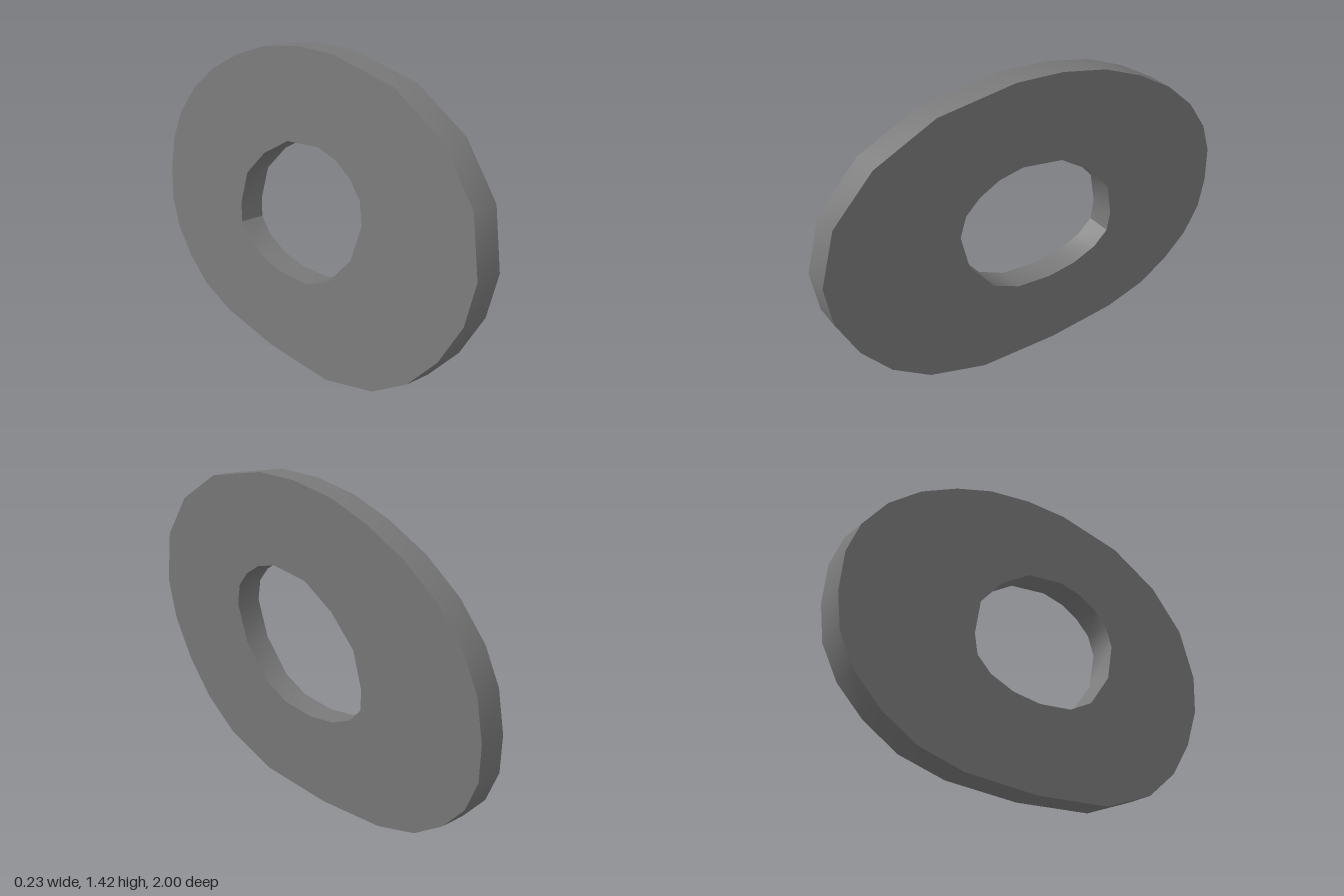
import * as THREE from 'three';
import { toCreasedNormals } from 'three/addons/utils/BufferGeometryUtils.js';

const MID = 0.712;      // height of the ring's centre
const THICKNESS = 0.115;
const TILT = 0.0815;    // lean towards +x
const YAW = 0.005;      // slight turn of the +x face to the front
const RIM_SLANT = 0.033; // the rim is not quite square to the faces

// Outlines as [z, y] corners, seen from the side
const OUTER = [
  [1, 0.82], [0.94, 1.06], [0.77, 1.25], [0.51, 1.377], [0.165, 1.42], [-0.055, 1.405],
  [-0.275, 1.357], [-0.465, 1.28], [-0.65, 1.175], [-0.805, 1.045], [-0.92, 0.895], [-0.98, 0.75],
  [-1, 0.575], [-0.985, 0.42], [-0.92, 0.285], [-0.81, 0.172], [-0.66, 0.078], [-0.455, 0.024],
  [-0.11, 0.004], [0.28, 0.03], [0.56, 0.13], [0.74, 0.265], [0.875, 0.435], [0.97, 0.63],
];
const HOLE = [
  [0.41, 0.805], [0.385, 0.9], [0.32, 0.965], [0.23, 1.013], [0.115, 1.033], [-0.08, 1.0],
  [-0.235, 0.9], [-0.355, 0.768], [-0.39, 0.612], [-0.38, 0.52], [-0.315, 0.455], [-0.2, 0.41],
  [-0.06, 0.395], [0.11, 0.415], [0.24, 0.48], [0.365, 0.635],
];

// Centre an outline and turn it into the extrusion plane
const toPlane = (points) => points.map(([z, y]) => new THREE.Vector2(-z, (y - MID) * 1.002));

export function createModel() {
  const group = new THREE.Group();
  group.name = 'leaningRing';

  // Flat plate with a faceted oval outline; the hole winds the other way so its wall faces inwards
  const shape = new THREE.Shape(toPlane(OUTER));
  shape.holes.push(new THREE.Path(toPlane(HOLE).reverse()));
  let geometry = new THREE.ExtrudeGeometry(shape, { depth: THICKNESS, bevelEnabled: false });
  geometry.translate(0, 0, -THICKNESS / 2);
  geometry.rotateY(Math.PI / 2);
  geometry.applyMatrix4(new THREE.Matrix4().makeShear(RIM_SLANT, 0, 0, 0, 0, 0));

  // Smooth rim, sharp edges against the flat faces
  geometry = toCreasedNormals(geometry, 0.6);

  const ring = new THREE.Mesh(geometry, new THREE.MeshStandardMaterial({ color: 0x797979 }));
  ring.name = 'ringPlate';
  ring.rotation.set(0, -YAW, -TILT);
  ring.position.y = MID;
  group.add(ring);
  return group;
}
